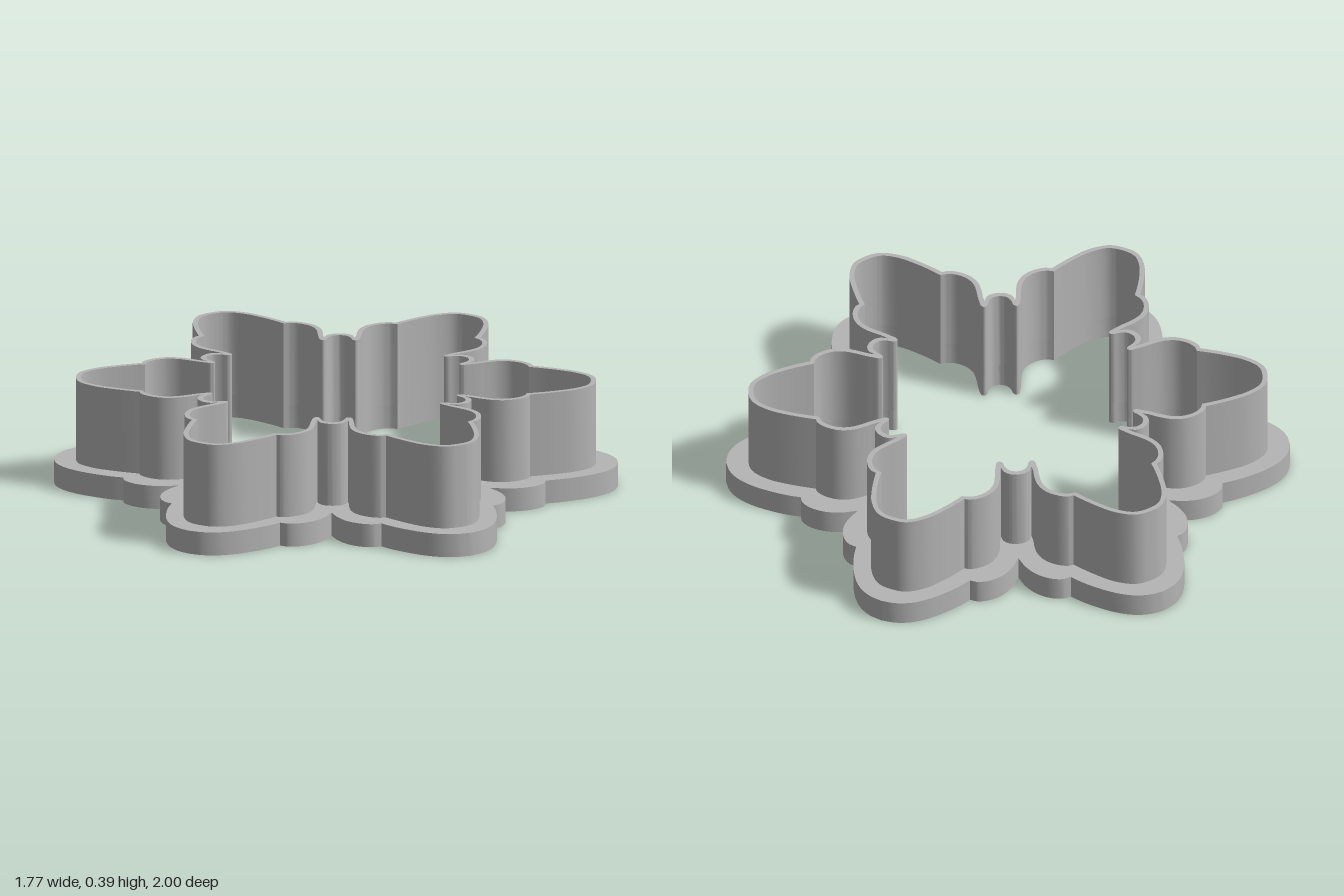
import * as THREE from 'three';
import { toCreasedNormals } from 'three/addons/utils/BufferGeometryUtils.js';

const BASE_H = 0.085, TOTAL_H = 0.388;

// Half of one petal, from its tip to the notch beside it; each run is smooth, corners lie between runs.
// The petal axis points along +v; the notch axis lies 60 degrees above u.
const notch = (r, o) => [0.5 * r - 0.866 * o, 0.866 * r + 0.5 * o];

const innerRuns = [
  [[0, 0.903], [0.031, 0.9], [0.06, 0.887], [0.097, 0.843], [0.125, 0.785], [0.147, 0.725], [0.16, 0.68]],
  [[0.16, 0.68], [0.185, 0.672], [0.21, 0.65], [0.228, 0.61], [0.228, 0.57], [0.214, 0.53],
    notch(0.53, 0.077), notch(0.5, 0.073), notch(0.476, 0.068), notch(0.468, 0.058), notch(0.475, 0.047),
    notch(0.5, 0.04), notch(0.523, 0.025), notch(0.532, 0)],
];
const wallRuns = [
  [[0, 0.921], [0.034, 0.918], [0.067, 0.903], [0.112, 0.853], [0.141, 0.793], [0.164, 0.73], [0.176, 0.692]],
  [[0.176, 0.692], [0.196, 0.687], [0.224, 0.661], [0.246, 0.614], [0.246, 0.565], [0.23, 0.52],
    notch(0.53, 0.059), notch(0.503, 0.054)],
  [notch(0.503, 0.054), notch(0.53, 0.045), notch(0.546, 0.025), notch(0.551, 0)],
];
const baseRuns = [
  [[0, 1], [0.05, 0.991], [0.1, 0.964], [0.146, 0.915], [0.185, 0.85], [0.212, 0.79], [0.225, 0.748]],
  [[0.225, 0.748], [0.256, 0.744], [0.292, 0.715], [0.318, 0.665], [0.325, 0.61], [0.318, 0.551]],
];

// Samples the half petal, mirrors it and repeats it six times around the centre
function outline(runs) {
  const half = [];
  runs.forEach((run, i) => {
    const curve = new THREE.CatmullRomCurve3(run.map(([u, v]) => new THREE.Vector3(u, v, 0)));
    const pts = curve.getPoints((run.length - 1) * 4).map(p => new THREE.Vector2(p.x, p.y));
    half.push(...(i ? pts.slice(1) : pts));
  });
  // notch end -> tip -> mirrored side, without repeating the shared ends
  const petal = [...half].reverse().concat(half.slice(1, -1).map(p => new THREE.Vector2(-p.x, p.y)));
  const all = [];
  const centre = new THREE.Vector2();
  for (let k = 0; k < 6; k++) {
    for (const p of petal) all.push(p.clone().rotateAround(centre, k * Math.PI / 3));
  }
  return all;
}

// Upright ring between two outlines
function ring(outer, inner, y0, y1) {
  const shape = new THREE.Shape(outer);
  shape.holes.push(new THREE.Path(inner));
  const geo = new THREE.ExtrudeGeometry(shape, { depth: y1 - y0, bevelEnabled: false });
  geo.rotateX(-Math.PI / 2);
  geo.translate(0, y0, 0);
  return toCreasedNormals(geo, 0.6);
}

export function createModel() {
  const group = new THREE.Group();
  group.name = 'snowflakeCutter';
  const grey = new THREE.MeshStandardMaterial({ color: 0xb4b4b4 });
  grey.name = 'grey';

  const inner = outline(innerRuns);

  // Wide grip flange at the bottom
  const flange = new THREE.Mesh(ring(outline(baseRuns), inner, 0, BASE_H), grey);
  flange.name = 'gripFlange';

  // Thin cutting wall standing on it
  const wall = new THREE.Mesh(ring(outline(wallRuns), inner, BASE_H, TOTAL_H), grey);
  wall.name = 'cuttingWall';

  group.add(flange, wall);
  return group;
}
